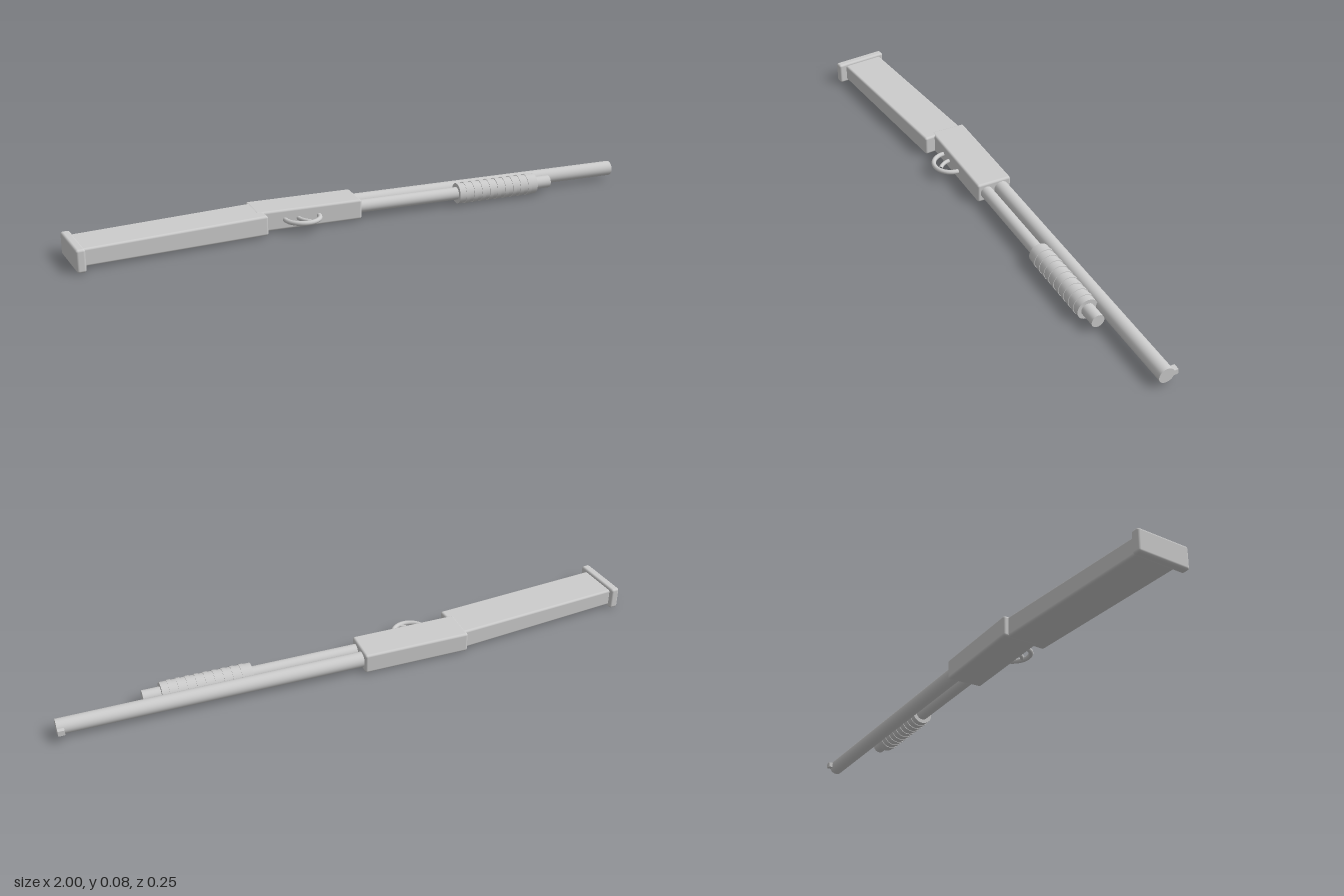
import * as THREE from 'three';
import { RoundedBoxGeometry } from 'three/addons/geometries/RoundedBoxGeometry.js';

const Y = 0.039; // height of the centre line

export function createModel() {
  const model = new THREE.Group();
  const grey = new THREE.MeshStandardMaterial({ color: 0xcccccc });
  grey.name = 'light grey';

  const add = (name, geometry, x, y, z, parent = model) => {
    const mesh = new THREE.Mesh(geometry, grey);
    mesh.name = name;
    mesh.position.set(x, y, z);
    parent.add(mesh);
    return mesh;
  };
  // round bar along x, from x0 to x1
  const bar = (name, radius, x0, x1, z, parent) => {
    const g = new THREE.CylinderGeometry(radius, radius, x1 - x0, 32).rotateZ(-Math.PI / 2);
    return add(name, g, (x0 + x1) / 2, Y, z, parent);
  };

  // receiver
  add('receiver', new RoundedBoxGeometry(0.37, 0.069, 0.124, 3, 0.008), -0.195, Y, -0.062);

  // stock, slanted and slightly thinner toward the butt
  const stock = new THREE.Group();
  stock.name = 'stock';
  stock.position.set(-0.66, Y, -0.006);
  stock.rotation.y = 0.098;
  model.add(stock);
  const body = new RoundedBoxGeometry(0.612, 0.068, 0.146, 3, 0.008);
  const p = body.attributes.position;
  for (let i = 0; i < p.count; i++) {
    const t = 0.5 - p.getX(i) / 0.612;
    p.setY(i, p.getY(i) * (1 - 0.14 * t));
  }
  add('stockBody', body, 0, 0, 0, stock);
  add('buttPad', new RoundedBoxGeometry(0.03, 0.076, 0.187, 3, 0.008), -0.316, 0, 0.006, stock);

  // barrel with front sight, and magazine tube
  bar('barrel', 0.026, -0.02, 1, -0.088);
  add('frontSight', new THREE.BoxGeometry(0.022, 0.018, 0.024), 0.989, Y, -0.115);
  bar('magazineTube', 0.022, -0.02, 0.717, -0.033);

  // sliding fore-end with shallow raised rings
  const foreEnd = new THREE.Group();
  foreEnd.name = 'foreEnd';
  model.add(foreEnd);
  bar('grip', 0.0355, 0.355, 0.657, -0.033, foreEnd);
  for (let i = 0; i < 9; i++) {
    const x = 0.386 + i * 0.03;
    bar('gripRing', 0.0375, x - 0.007, x + 0.007, -0.033, foreEnd);
  }

  // trigger guard and curved trigger
  const guard = new THREE.TorusGeometry(0.059, 0.008, 12, 40).rotateX(Math.PI / 2);
  add('triggerGuard', guard, -0.222, Y, 0);
  const curve = new THREE.QuadraticBezierCurve3(
    new THREE.Vector3(-0.235, Y, -0.01),
    new THREE.Vector3(-0.235, Y, 0.028),
    new THREE.Vector3(-0.205, Y, 0.046),
  );
  add('trigger', new THREE.TubeGeometry(curve, 12, 0.007, 10), 0, 0, 0);

  return model;
}
